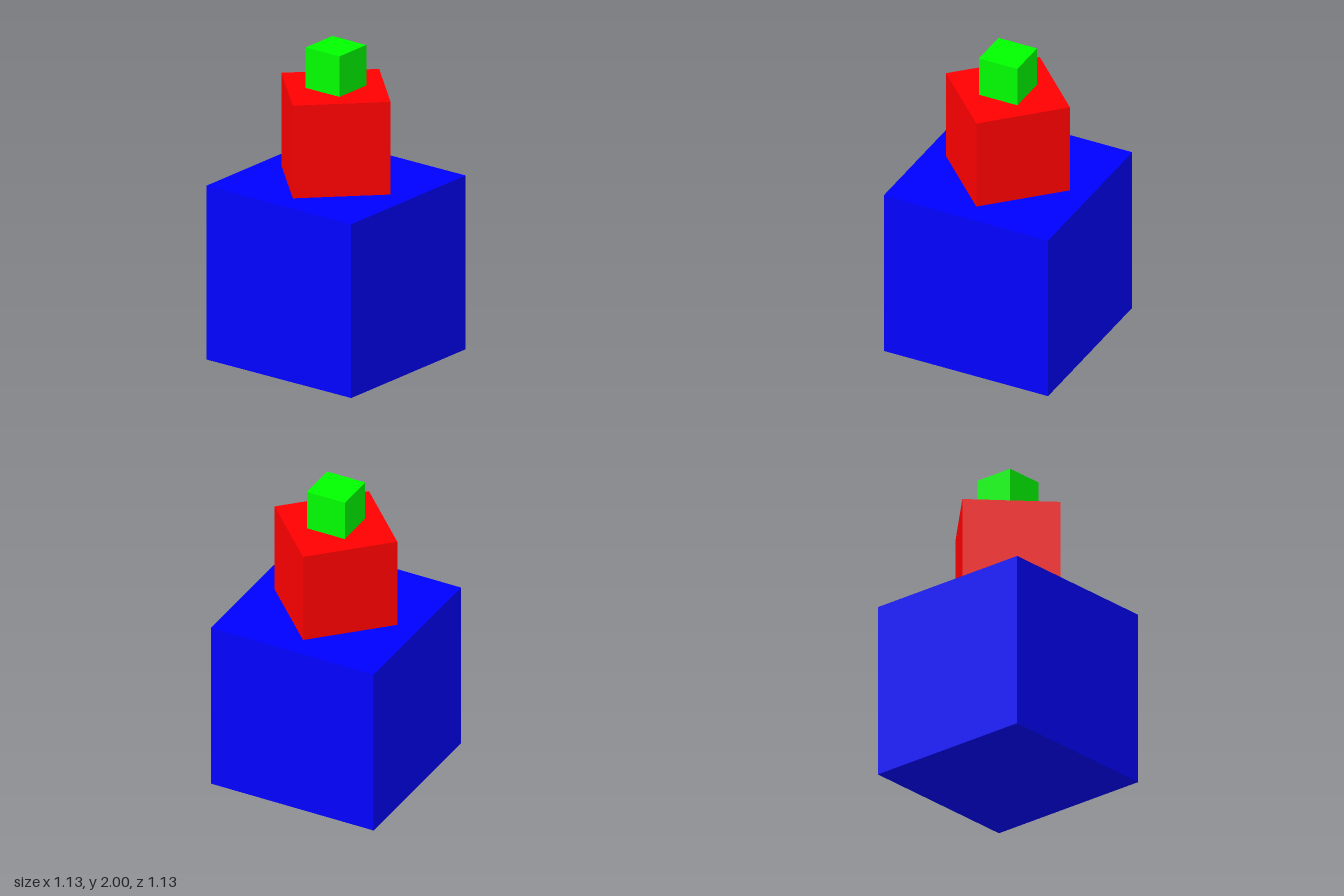
import * as THREE from 'three';

export function createModel() {
  const model = new THREE.Group();
  const gap = 0.0038; // thin gap between stacked blocks
  let y = 0;

  // Stacks a cube on top of the previous one
  function addCube(name, size, color, turn = 0) {
    const mesh = new THREE.Mesh(
      new THREE.BoxGeometry(size, size, size),
      new THREE.MeshStandardMaterial({ color })
    );
    mesh.name = name;
    mesh.position.y = y + size / 2;
    mesh.rotation.y = turn;
    model.add(mesh);
    y += size + gap;
  }

  addCube('baseBlock', 1.1278, 0x0000ff);
  addCube('middleBlock', 0.6015, 0xff0000, Math.PI / 4); // turned to a diamond
  addCube('topBlock', 0.2632, 0x00ff00);

  return model;
}
